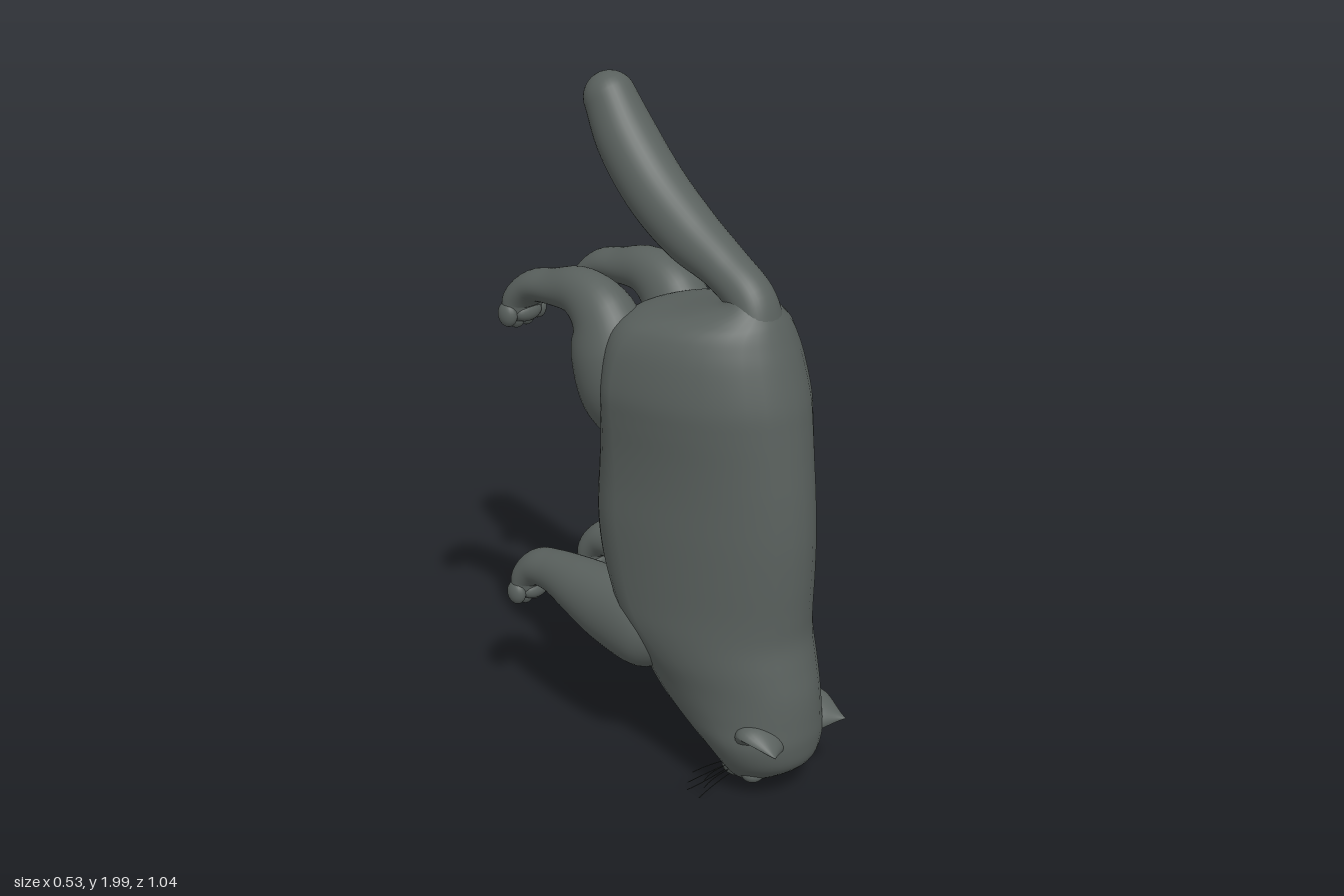
import * as THREE from 'three';

const fur = new THREE.MeshStandardMaterial({ color: 0x59605d });
fur.name = 'greyFur';
const dark = new THREE.MeshStandardMaterial({ color: 0x2c302f });
dark.name = 'darkWhisker';

const SIDES = 36;
const X = new THREE.Vector3(1, 0, 0);
const V = (x, y, z) => new THREE.Vector3(x, y, z);

// Skins a list of closed rings, with a fan at each end
function skin(rings) {
  const pos = [], idx = [], n = SIDES;
  rings.forEach(r => r.forEach(p => pos.push(p.x, p.y, p.z)));
  for (let i = 0; i < rings.length - 1; i++)
    for (let j = 0; j < n; j++) {
      const a = i * n + j, b = i * n + (j + 1) % n;
      idx.push(a, b, b + n, a, b + n, a + n);
    }
  [0, rings.length - 1].forEach((i, end) => {
    const c = V(0, 0, 0);
    rings[i].forEach(p => c.addScaledVector(p, 1 / n));
    const k = pos.length / 3;
    pos.push(c.x, c.y, c.z);
    for (let j = 0; j < n; j++) {
      const a = i * n + j, b = i * n + (j + 1) % n;
      if (end) idx.push(k, a, b); else idx.push(k, b, a);
    }
  });
  const g = new THREE.BufferGeometry();
  g.setAttribute('position', new THREE.Float32BufferAttribute(pos, 3));
  g.setIndex(idx);
  g.computeVertexNormals();
  return g;
}

// Ring around p: half width w, and depth on either side along the normal
function ring(p, t, w, front, back = front) {
  const nrm = t.clone().cross(X).normalize();
  return Array.from({ length: SIDES }, (_, j) => {
    const a = j / SIDES * Math.PI * 2, s = Math.sin(a);
    return p.clone().addScaledVector(X, w * Math.cos(a)).addScaledVector(nrm, s * (s > 0 ? front : back));
  });
}

// Limb rows: [x, y, z, half width, half depth], with a rounded tip
function limb(rows, steps = 40) {
  const path = new THREE.CatmullRomCurve3(rows.map(r => V(r[0], r[1], r[2])));
  const size = new THREE.CatmullRomCurve3(rows.map(r => V(r[3], r[4], 0)), false, 'catmullrom', 0.5);
  const rings = [];
  let p, t, s;
  for (let i = 0; i <= steps; i++) {
    p = path.getPoint(i / steps);
    t = path.getTangent(i / steps);
    t.x = 0;
    t.normalize();
    s = size.getPoint(i / steps);
    rings.push(ring(p, t, s.x, s.y));
  }
  for (let k = 1; k <= 8; k++) {
    const a = k / 8 * Math.PI / 2 * 0.98;
    rings.push(ring(p.clone().addScaledVector(t, s.y * Math.sin(a)), t, s.x * Math.cos(a), s.y * Math.cos(a)));
  }
  return skin(rings);
}

// Body rows from nose to rump: [y, back z, middle z, belly z, half width]
function bodyGeometry() {
  const rows = [
    [0.012, 0.325, 0.30, 0.275, 0.02], [0.025, 0.352, 0.31, 0.258, 0.055],
    [0.06, 0.415, 0.325, 0.238, 0.098], [0.12, 0.492, 0.34, 0.212, 0.147],
    [0.19, 0.512, 0.33, 0.105, 0.178], [0.26, 0.512, 0.28, -0.01, 0.187],
    [0.34, 0.505, 0.22, -0.075, 0.2], [0.42, 0.488, 0.15, -0.115, 0.222],
    [0.5, 0.472, 0.08, -0.13, 0.238], [0.58, 0.473, 0.04, -0.155, 0.243],
    [0.68, 0.478, 0.02, -0.192, 0.246], [0.8, 0.48, 0, -0.198, 0.249],
    [0.92, 0.474, 0, -0.188, 0.248], [1.02, 0.464, 0, -0.17, 0.252],
    [1.12, 0.452, 0, -0.155, 0.261], [1.2, 0.44, 0, -0.145, 0.265],
    [1.3, 0.412, 0.01, -0.14, 0.25], [1.36, 0.39, 0.04, -0.12, 0.225],
    [1.395, 0.375, 0.1, -0.06, 0.19], [1.42, 0.362, 0.18, 0.08, 0.14],
    [1.45, 0.342, 0.26, 0.19, 0.085], [1.48, 0.315, 0.265, 0.21, 0.06],
  ];
  const a = new THREE.CatmullRomCurve3(rows.map(r => V(r[0], r[1], r[2])), false, 'catmullrom', 0.5);
  const b = new THREE.CatmullRomCurve3(rows.map(r => V(r[3], r[4], 0)), false, 'catmullrom', 0.5);
  const rings = [], up = V(0, 1, 0), N = 100;
  for (let i = 0; i <= N; i++) {
    const p = a.getPoint(i / N), q = b.getPoint(i / N);
    rings.push(ring(V(0, p.x, p.z), up, q.y, p.z - q.x, p.y - p.z));
  }
  return skin(rings);
}

export function createModel() {
  const model = new THREE.Group();
  model.name = 'cat';
  const add = (name, geo, mat = fur, parent = model) => {
    const m = new THREE.Mesh(geo, mat);
    m.name = name;
    parent.add(m);
    return m;
  };
  const blob = (name, p, s, parent = model) => {
    const m = add(name, new THREE.SphereGeometry(1, 20, 14), fur, parent);
    m.position.set(...p);
    m.scale.set(...s);
    return m;
  };

  add('body', bodyGeometry());
  add('tail', limb([
    [0, 1.38, 0.31, 0.08, 0.06], [0, 1.46, 0.275, 0.07, 0.065], [0, 1.53, 0.18, 0.072, 0.066],
    [0, 1.6, 0.05, 0.084, 0.084], [0, 1.7, -0.08, 0.09, 0.09],
    [0, 1.82, -0.185, 0.088, 0.087], [0, 1.925, -0.25, 0.074, 0.075],
  ]));

  for (const s of [1, -1]) {
    const side = s > 0 ? 'left' : 'right';

    // Legs, bent down at the wrist and ankle
    add(side + 'FrontLeg', limb([
      [s * 0.13, 0.43, 0.12, 0.07, 0.08], [s * 0.14, 0.445, 0.03, 0.108, 0.125],
      [s * 0.145, 0.463, -0.12, 0.1, 0.118], [s * 0.143, 0.483, -0.25, 0.086, 0.091],
      [s * 0.14, 0.494, -0.36, 0.069, 0.066], [s * 0.14, 0.485, -0.435, 0.066, 0.056],
      [s * 0.14, 0.45, -0.473, 0.07, 0.047], [s * 0.14, 0.415, -0.478, 0.07, 0.04],
    ]));
    add(side + 'HindLeg', limb([
      [s * 0.11, 1.0, -0.03, 0.06, 0.08], [s * 0.13, 1.12, -0.075, 0.11, 0.125],
      [s * 0.14, 1.25, -0.11, 0.112, 0.125], [s * 0.138, 1.35, -0.15, 0.09, 0.1],
      [s * 0.135, 1.398, -0.235, 0.07, 0.074], [s * 0.135, 1.392, -0.34, 0.065, 0.053],
      [s * 0.138, 1.376, -0.425, 0.064, 0.047], [s * 0.14, 1.335, -0.472, 0.07, 0.045],
      [s * 0.14, 1.3, -0.478, 0.07, 0.04],
    ]));

    // Four toes on each paw
    for (const [name, y] of [['Front', 0.395], ['Hind', 1.282]]) {
      const paw = new THREE.Group();
      paw.name = side + name + 'Paw';
      model.add(paw);
      [-1.5, -0.5, 0.5, 1.5].forEach(k => {
        const inner = Math.abs(k) < 1;
        blob('toe', [s * 0.14 + k * 0.038, y + (inner ? -0.004 : 0.01), inner ? -0.487 : -0.478],
          [0.024, 0.037, 0.033], paw);
      });
      blob('pad', [s * 0.14, y + 0.012, -0.457], [0.05, 0.03, 0.028], paw);
    }

    // Ear: a short wide cone with a hollow facing the nose
    const ear = new THREE.Group();
    ear.name = side + 'Ear';
    const shell = new THREE.ConeGeometry(0.075, 0.12, 28, 12, true);
    const q = shell.attributes.position;
    for (let i = 0; i < q.count; i++) {
      const h = (q.getY(i) + 0.06) / 0.12;
      const puff = 1 + 0.5 * Math.sin(h * Math.PI);
      q.setX(i, q.getX(i) * puff);
      let z = q.getZ(i) * puff * 0.62;
      if (z > 0) z *= 1 - 1.3 * Math.sin(h * Math.PI) * 0.7;
      q.setZ(i, z);
    }
    shell.computeVertexNormals();
    add('earShell', shell, fur, ear);
    const up = V(s * 0.4, -0.05, 0.9).normalize();
    const face = V(s * 0.35, -1, -0.2).addScaledVector(up, 0);
    const across = up.clone().cross(face).normalize();
    ear.quaternion.setFromRotationMatrix(
      new THREE.Matrix4().makeBasis(across, up, across.clone().cross(up)));
    ear.position.set(s * 0.13, 0.22, 0.468);
    model.add(ear);

    // Face: muzzle pad, closed eyelid and whiskers
    blob(side + 'Muzzle', [s * 0.035, 0.058, 0.275], [0.046, 0.042, 0.045]);
    blob(side + 'Eyelid', [s * 0.078, 0.077, 0.372], [0.034, 0.026, 0.034]);
    const whiskers = new THREE.Group();
    whiskers.name = side + 'Whiskers';
    model.add(whiskers);
    for (let k = 0; k < 6; k++) {
      const y = 0.035 + (k % 3) * 0.013, z = 0.255 + (k > 2 ? 0.025 : 0);
      const curve = new THREE.QuadraticBezierCurve3(
        V(s * 0.05, y, z), V(s * 0.14, y + (k % 3 - 0.7) * 0.014, z - 0.005),
        V(s * (0.2 + 0.01 * (k % 2)), y + (k % 3 - 1) * 0.02, z - 0.025 + 0.01 * k));
      add('whisker', new THREE.TubeGeometry(curve, 10, 0.0013, 5), dark, whiskers);
    }
  }
  blob('nose', [0, 0.027, 0.315], [0.024, 0.018, 0.026]);
  blob('chin', [0, 0.075, 0.248], [0.042, 0.035, 0.03]);
  return model;
}
